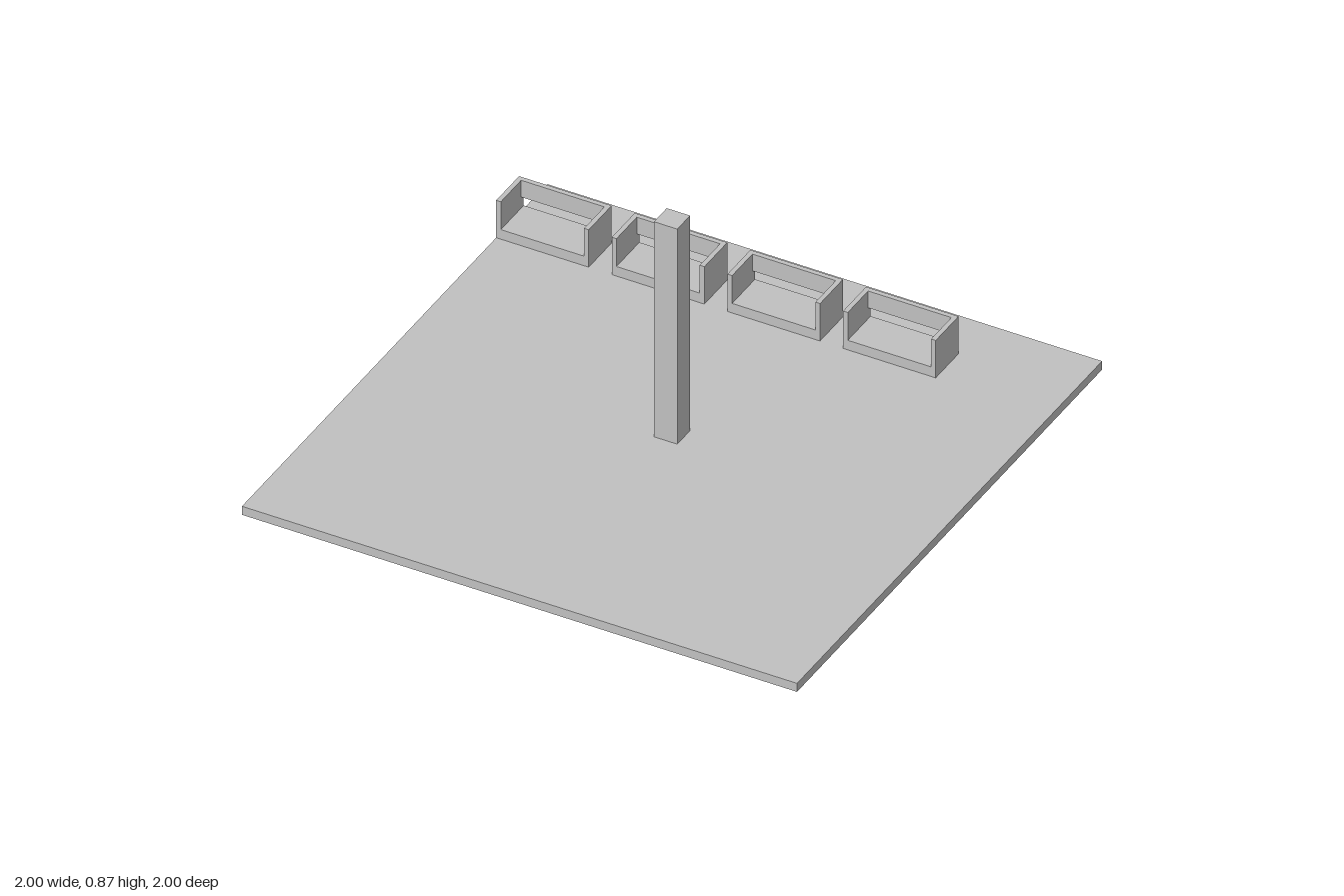
import * as THREE from 'three';

export function createModel() {
  const model = new THREE.Group();
  model.name = 'plaza';
  const grey = new THREE.MeshStandardMaterial({ color: 0xc0c0c0 });
  grey.name = 'grey';

  // Box given by its minimum and maximum corners
  function box(name, parent, [x0, y0, z0], [x1, y1, z1]) {
    const geometry = new THREE.BoxGeometry(x1 - x0, y1 - y0, z1 - z0);
    const mesh = new THREE.Mesh(geometry, grey);
    mesh.position.set((x0 + x1) / 2, (y0 + y1) / 2, (z0 + z1) / 2);
    mesh.name = name;
    parent.add(mesh);
  }

  // Ground slab and central column
  const floor = 0.033;
  box('groundSlab', model, [-1, 0, -1], [1, floor, 1]);
  box('column', model, [-0.042, floor, -0.042], [0.042, 0.867, 0.042]);

  // Row of benches: seat block, two arms and a raised back panel
  const half = 0.1667, depth = 0.15, wall = 0.0167;
  const seatTop = 0.07, top = 0.178;
  for (let i = 0; i < 4; i++) {
    const bench = new THREE.Group();
    bench.name = 'bench' + (i + 1);
    bench.position.set(-1 + half + i * 0.4167, 0, -0.817);
    box('seat', bench, [-half, floor, 0], [half, seatTop, depth]);
    box('rightArm', bench, [-half, seatTop, 0], [-half + wall, top, depth]);
    box('leftArm', bench, [half - wall, seatTop, 0], [half, top, depth]);
    box('backPanel', bench, [-half + wall, 0.113, 0], [half - wall, top, wall]);
    model.add(bench);
  }
  return model;
}
